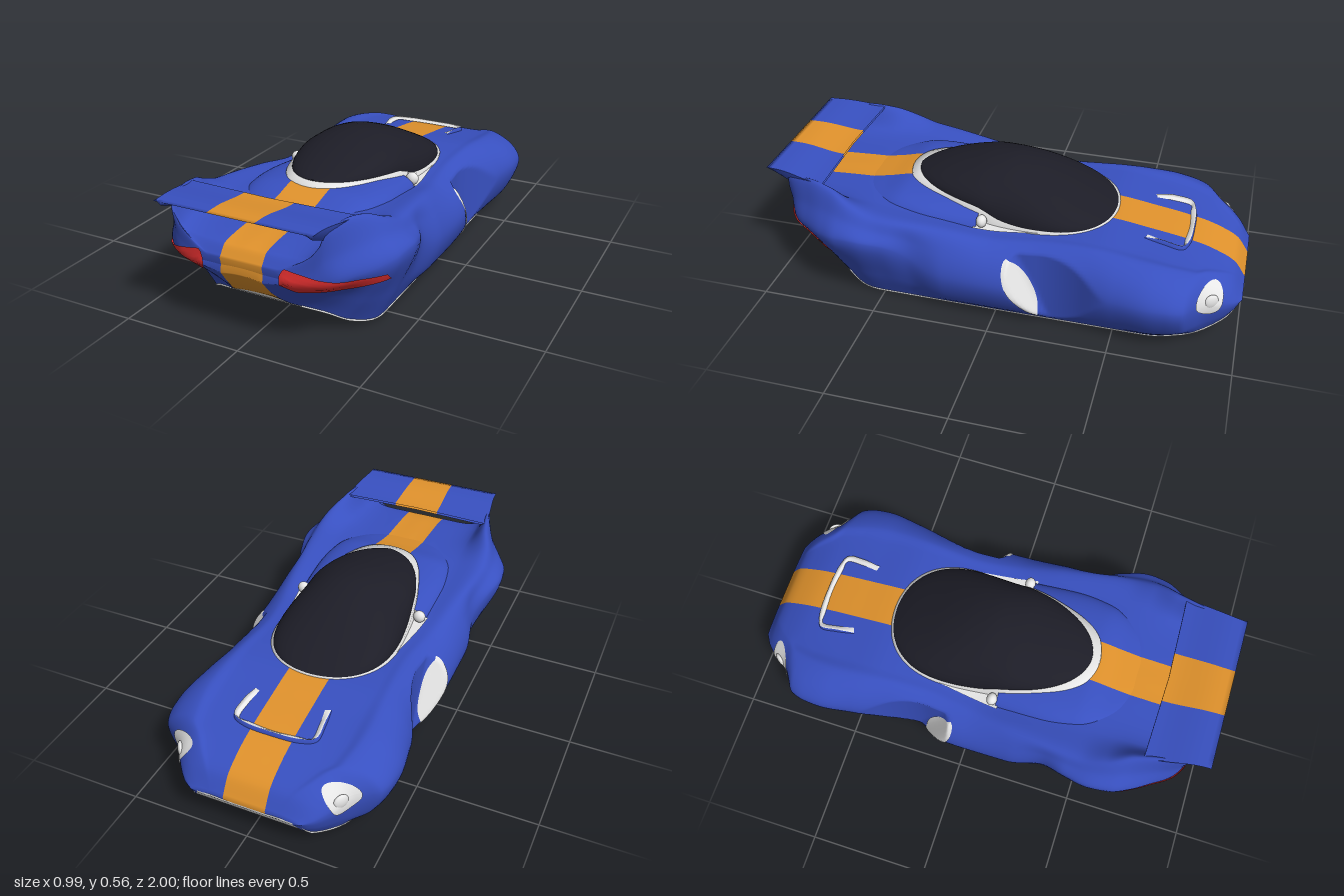
import * as THREE from 'three';

const mat = (name, color) => Object.assign(new THREE.MeshStandardMaterial({ color, side: THREE.DoubleSide }), { name });
const lerp = THREE.MathUtils.lerp, smooth = (a, b, x) => THREE.MathUtils.smoothstep(x, a, b);

// Smooth monotone curve through key pairs [z, value, z, value, ...]
function keys(...k) {
  const n = k.length / 2, z = i => k[2 * i], v = i => k[2 * i + 1];
  const d = i => (v(i + 1) - v(i)) / (z(i + 1) - z(i));
  const m = i => {
    if (i === 0) return d(0);
    if (i === n - 1) return d(n - 2);
    const a = d(i - 1), b = d(i);
    return a * b <= 0 ? 0 : 2 * a * b / (a + b);
  };
  return x => {
    if (x <= z(0)) return v(0);
    if (x >= z(n - 1)) return v(n - 1);
    let i = 0;
    while (x > z(i + 1)) i++;
    const h = z(i + 1) - z(i), t = (x - z(i)) / h, t2 = t * t, t3 = t2 * t;
    return v(i) * (2 * t3 - 3 * t2 + 1) + m(i) * h * (t3 - 2 * t2 + t) + v(i + 1) * (3 * t2 - 2 * t3) + m(i + 1) * h * (t3 - t2);
  };
}

// Body outlines along z (nose at -1, tail at +0.95)
const width = keys(-1, .23, -.97, .275, -.92, .32, -.85, .365, -.815, .412, -.78, .462, -.72, .481, -.65, .486, -.5, .465, -.35, .44, -.2, .455, 0, .465, .2, .465, .34, .442, .45, .475, .56, .497, .65, .488, .73, .452, .81, .398, .88, .345, .92, .28, .95, .19);
const widthY = keys(-1, .166, -.9, .2, -.7, .23, 0, .2, .25, .21, .45, .325, .58, .345, .8, .31, .95, .3);
const baseX = keys(-1, .2, -.97, .23, -.9, .275, -.8, .33, -.65, .36, .55, .36, .7, .295, .77, .21, .82, .13, .9, .095, .95, .088);
const baseY = keys(-1, .158, -.97, .108, -.93, .073, -.88, .048, -.8, .029, -.6, .012, .5, .008, .6, .018, .7, .055, .77, .11, .82, .14, .9, .215, .95, .28);
const shoulderX = keys(-1, .15, -.9, .235, -.85, .275, -.8, .32, -.6, .35, -.2, .33, .1, .37, .5, .41, .6, .4, .7, .365, .8, .342, .91, .32, .93, .24, .95, .15);
const shoulderY = keys(-1, .178, -.95, .25, -.9, .285, -.8, .325, -.6, .362, -.4, .375, 0, .355, .2, .385, .4, .41, .5, .423, .6, .46, .7, .505, .8, .522, .905, .508, .925, .4, .95, .335);
const deckY = keys(-1, .18, -.95, .25, -.9, .28, -.8, .316, -.6, .352, -.4, .376, 0, .358, .3, .39, .55, .41, .8, .4, .91, .385, .95, .34);
const STRIPE = .088, SEG = 8, COLS = 14 * SEG;

// Slanted centre line of the side intake
const intakeZ = y => -.19 + (y - .03) * .45;

// Half cross-section from the bottom edge up to the centre line
function halfSection(z) {
  const w = width(z), wy = widthY(z), bx = baseX(z), by = baseY(z), sx = shoulderX(z), sy = shoulderY(z), dy = deckY(z);
  const dx = Math.min(.285, Math.max(sx * .84, .11)), rear = smooth(.25, .5, z);
  const c = new THREE.CatmullRomCurve3([
    [bx, by], [lerp(bx, w, lerp(.65, .48, rear)), lerp(by, wy, .4)], [w, wy], [lerp(sx, w, lerp(.68, .5, rear)), lerp(wy, sy, lerp(.6, .5, rear))],
    [sx, sy], [dx, lerp(dy, sy, .18)], [STRIPE, dy], [0, dy]].map(p => new THREE.Vector3(p[0], p[1], z)));
  const dent = .085 * smooth(-.48, -.18, z), pts = [];
  for (let i = 0; i <= 7 * SEG; i++) {
    const p = c.getPoint(i / (7 * SEG));
    if (z < .05 && i < 4 * SEG) {
      const zc = intakeZ(p.y);
      p.x = Math.min(p.x, w - dent * (1 - smooth(zc - .045, zc + .045, z)));
    }
    pts.push(p);
  }
  return pts;
}

// Outer side x at a given height, and deck y at a given x
function sideX(z, y) {
  const s = halfSection(z);
  for (let i = 0; i < 4 * SEG; i++) {
    if (s[i + 1].y >= y) return lerp(s[i].x, s[i + 1].x, THREE.MathUtils.clamp((y - s[i].y) / (s[i + 1].y - s[i].y || 1), 0, 1));
  }
  return s[4 * SEG].x;
}
function topY(z, x) {
  const s = halfSection(z), a = Math.abs(x);
  let i = 7 * SEG;
  while (i > 1 && s[i - 1].x < a) i--;
  return lerp(s[i].y, s[i - 1].y, THREE.MathUtils.clamp((a - s[i].x) / (s[i - 1].x - s[i].x || 1), 0, 1));
}

// Grid surface; pick(i, j) chooses a material for each cell
function grid(name, rows, cols, point, mats, pick = () => 0) {
  const pos = [], lists = mats.map(() => []);
  for (let i = 0; i <= rows; i++) for (let j = 0; j <= cols; j++) pos.push(...point(i, j));
  for (let i = 0; i < rows; i++) for (let j = 0; j < cols; j++) {
    const a = i * (cols + 1) + j, b = a + cols + 1;
    lists[pick(i, j)].push(a, a + 1, b, b, a + 1, b + 1);
  }
  const g = new THREE.BufferGeometry();
  g.setAttribute('position', new THREE.Float32BufferAttribute(pos, 3));
  g.setIndex(lists.flat());
  let start = 0;
  lists.forEach((l, k) => { g.addGroup(start, l.length, k); start += l.length; });
  g.computeVertexNormals();
  const m = new THREE.Mesh(g, mats.length > 1 ? mats : mats[0]);
  m.name = name;
  return m;
}

export function createModel() {
  const car = new THREE.Group();
  car.name = 'raceCar';
  const blue = mat('bodyBlue', 0x3850c0), orange = mat('stripeOrange', 0xe0922c), red = mat('lampRed', 0xe63030);
  const white = mat('trimWhite', 0xf8f8f8), dark = mat('canopyDark', 0x1d1d27);

  // Body shell, closed at both ends by flattened sections
  const N = 180, zs = [], sections = [];
  for (let i = 0; i <= N; i++) {
    const u = i / N, z = -.025 - .975 * lerp(Math.cos(Math.PI * u), 1 - 2 * u, .5);
    zs.push(z);
    sections.push(halfSection(z));
  }
  const flat = (s, y) => s.map(p => new THREE.Vector3(p.x, y, p.z));
  sections.unshift(flat(sections[0], .166));
  sections.push(flat(sections[N], .31));
  zs.unshift(-1); zs.push(.95);
  car.add(grid('bodyShell', N + 2, COLS, (i, j) => {
    const left = j <= COLS / 2, p = sections[i][left ? j : COLS - j];
    return [left ? p.x : -p.x, p.y, p.z];
  }, [blue, orange], (i, j) => (j >= 6 * SEG && j < 8 * SEG ? 1 : 0)));
  car.add(grid('underside', N + 2, 8, (i, j) => {
    const p = sections[i][0], s = j / 4 - 1;
    return [p.x * s, p.y + .01 * (1 - s * s) * smooth(-1, -.8, p.z) * smooth(.82, .6, p.z), p.z];
  }, [white, orange], i => (zs[i] > .82 ? 1 : 0)));

  // White lip along the bottom edge
  const edge = [];
  for (let z = .8; z > -.97; z -= .05) edge.push(new THREE.Vector3(baseX(z), baseY(z), z));
  const lipPath = [...edge, new THREE.Vector3(.21, .155, -.99), new THREE.Vector3(0, .158, -.995), new THREE.Vector3(-.21, .155, -.99),
    ...edge.reverse().map(p => new THREE.Vector3(-p.x, p.y, p.z))];
  const lip = new THREE.Mesh(new THREE.TubeGeometry(new THREE.CatmullRomCurve3(lipPath), 160, .005, 6), white);
  lip.name = 'bottomLip';
  car.add(lip);

  // Rear fairing behind the canopy, with white duct faces at its front
  const fairW = keys(.1, .3, .3, .305, .45, .285, .58, .22, .65, .13, .69, .01);
  const fairH = keys(.1, .43, .3, .446, .43, .45, .55, .425, .69, .396);
  const fairing = (z, j) => {
    const w = fairW(z), k = Math.min(STRIPE, w * .8);
    const s = (j - 20) / 20, a = Math.abs(s);
    const x = a < .3 ? k * a / .3 : lerp(k, w, Math.sin((a - .3) / .7 * Math.PI / 2));
    const low = deckY(z) - .02;
    return [Math.sign(s) * x, low + (fairH(z) - low) * Math.pow(Math.max(0, 1 - Math.pow(x / w, 4)), .5), z];
  };
  car.add(grid('rearFairing', 40, 40, (i, j) => fairing(.1 + .59 * i / 40, j), [blue, orange], (i, j) => (j >= 14 && j < 26 ? 1 : 0)));
  car.add(grid('cockpitDucts', 1, 40, (i, j) => {
    const p = fairing(.1, j);
    return i ? p : [p[0], .34, .1];
  }, [white]));

  // Canopy and its white surround
  const top = keys(-.44, .376, -.38, .412, -.28, .463, -.17, .513, -.07, .546, .02, .56, .1, .555, .2, .536, .3, .51, .43, .464);
  const base = keys(-.44, .374, -.1, .374, 0, .384, .12, .428, .43, .456);
  const planX = s => (.25 - .05 * s) * Math.sqrt(Math.max(0, 1 - Math.pow(Math.abs(s), 2.8)));
  car.add(grid('canopy', 48, 32, (i, j) => {
    const s = -Math.cos(Math.PI * i / 48), z = -.005 + .435 * s, a = Math.PI * j / 32;
    return [planX(s) * Math.cos(a), base(z) + (top(z) - base(z)) * Math.sin(a), z];
  }, [dark]));
  car.add(grid('canopySurround', 96, 2, (i, j) => {
    const a = 2 * Math.PI * i / 96, s = -Math.cos(a), side = Math.sin(a) < 0 ? -1 : 1;
    const z = -.005 + .435 * s, back = smooth(.5, 1, s);
    const out = [-.01, lerp(.008, .022, back), lerp(.012, .032, back)][j];
    const x = planX(s) + out * Math.min(1, Math.abs(Math.sin(a)) * 3);
    return [side * x, base(z) + [.004, .002, -.06][j], z + out * s * (s > 0 ? 1.5 : .9)];
  }, [white]));

  // Rear wing: top surface, trailing edge and underside, thicker at the struts
  car.add(grid('rearWing', 24, 40, (i, j) => {
    const s = j / 20 - 1, a = Math.abs(s), under = i > 12, v = under ? (24 - i) / 12 : i / 12;
    const z = lerp(.75 - .012 * a, 1, v), half = lerp(.355, .325, smooth(0, 1, v));
    const strut = smooth(.86, .96, a) * .085 * Math.pow(1 - v, .6) * smooth(.1, .5, v);
    const thick = (.004 + .013 * Math.sin(Math.PI * Math.min(1, .15 + v * .8)) + strut) * (1 - a ** 40);
    return [s * half, .512 + .022 * smooth(0, .8, v) - (under ? thick : 0), z];
  }, [blue, orange], (i, j) => (j >= 14 && j < 26 ? 1 : 0)));

  // Deck scoop on the nose: a low hood rim, blue outside and white inside, with tapering arms
  const hoop = (rx, zFront, tail) => new THREE.CatmullRomCurve3([[-rx + .01, tail], [-rx, -.66], [-rx, -.735], [-rx * .7, zFront + .008], [0, zFront],
    [rx * .7, zFront + .008], [rx, -.735], [rx, -.66], [rx - .01, tail]].map(([x, z]) => new THREE.Vector3(x, 0, z)));
  const outer = hoop(.178, -.77, -.58), inner = hoop(.152, -.748, -.59);
  car.add(grid('deckScoop', 60, 3, (i, j) => {
    const p = outer.getPoint(i / 60).lerp(inner.getPoint(i / 60), [0, .15, .6, 1][j]);
    const rise = Math.min(1, 3 * Math.sin(Math.PI * i / 60));
    return [p.x, topY(p.z, p.x) + [-.002, .016 * rise + .003, .008 * rise + .004, .003][j], p.z];
  }, [blue, white], (i, j) => (j ? 1 : 0)));

  for (const s of [1, -1]) {
    const side = s > 0 ? 'left' : 'right';

    // Side intake opening
    car.add(grid(side + 'Intake', 30, 8, (i, j) => {
      const u = i / 30, y = .035 + .285 * u;
      const z = intakeZ(y) + (j / 4 - 1) * .044 * Math.pow(Math.sin(Math.PI * u ** 1.2) + 1e-9, .6);
      return [s * (sideX(z, y) + .004), y, z];
    }, [white]));

    // Headlight dish and lamp
    car.add(grid(side + 'HeadlightDish', 6, 32, (i, j) => {
      const a = j / 32 * Math.PI * 2, r = i / 6;
      const z = -.872 + .05 * r * Math.cos(a), y = .228 + r * (.062 * Math.sin(a) + .012 * Math.cos(a));
      return [s * (sideX(z, y) + .004), y, z - .003];
    }, [white]));
    const lamp = new THREE.Mesh(new THREE.SphereGeometry(.032, 20, 14), white);
    lamp.name = side + 'Headlamp';
    lamp.scale.set(1, 1, .4);
    lamp.position.set(s * sideX(-.88, .222), .222, -.88);
    lamp.rotation.y = s * (Math.PI - .95);
    car.add(lamp);

    // Tail lamp wrapped round the rear corner
    car.add(grid(side + 'TailLamp', 30, 6, (i, j) => {
      const x = lerp(.157, .458, i / 30);
      const lo = x < .2 ? lerp(.29, .245, (x - .157) / .043) : lerp(.245, .255, (x - .2) / .26);
      const hi = x < .172 ? lerp(.325, .358, (x - .157) / .015) : lerp(.358, .288, (x - .172) / .286);
      const y = lerp(lo, hi, j / 6);
      let a = .6, b = .95;
      for (let k = 0; k < 18; k++) {
        const m = (a + b) / 2;
        if (sideX(m, y) > x) a = m; else b = m;
      }
      return [s * (x + .003), y, a + .005];
    }, [red]));

    // Small mirror pod beside the cockpit
    const pod = new THREE.Mesh(new THREE.SphereGeometry(.03, 16, 12), white);
    pod.name = side + 'CockpitPod';
    pod.scale.set(.9, .9, .75);
    pod.position.set(s * .275, .392, .08);
    car.add(pod);

    // White sill between canopy and side rail
    car.add(grid(side + 'CockpitSill', 12, 3, (i, j) => {
      const u = i / 12, z = lerp(-.24, .11, u), x = lerp(.235, .258 + .047 * u, j / 3);
      return [s * x, topY(z, x) + .006, z];
    }, [white]));
  }
  return car;
}
